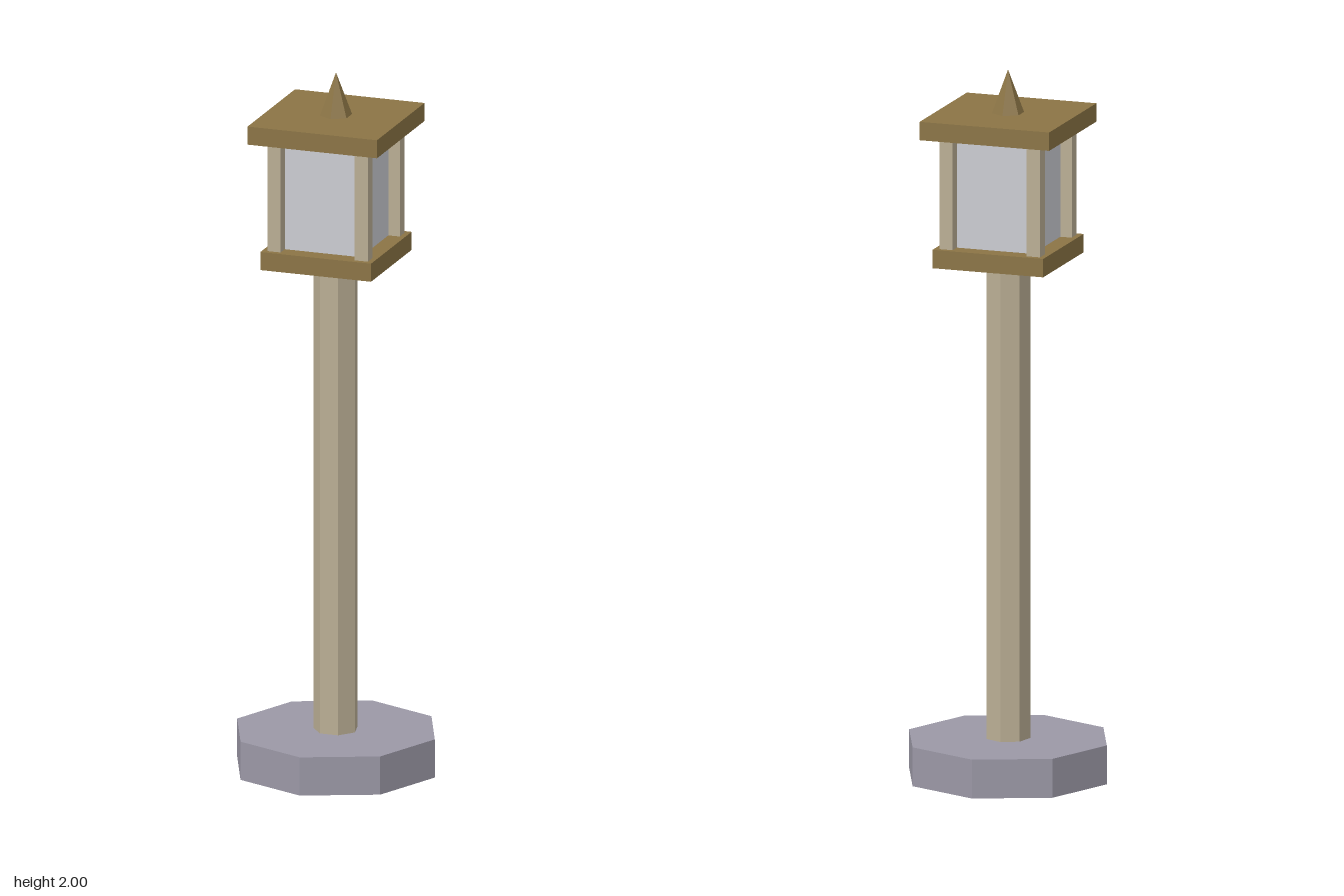
import * as THREE from 'three';

const material = (name, color) => {
  const m = new THREE.MeshStandardMaterial({ color });
  m.name = name;
  m.flatShading = true;
  return m;
};

export function createModel() {
  const stone = material('grey stone', 0x9b98a6);
  const wood = material('pale wood', 0xbaae94);
  const bronze = material('dark bronze', 0x8b7445);
  const glass = material('frosted glass', 0xcbccd2);

  const lamp = new THREE.Group();
  lamp.name = 'lampPost';

  // Adds a mesh spanning the heights y0 to y1
  const add = (name, geometry, mat, y0, y1, x = 0, z = 0) => {
    const mesh = new THREE.Mesh(geometry, mat);
    mesh.name = name;
    mesh.position.set(x, (y0 + y1) / 2, z);
    lamp.add(mesh);
    return mesh;
  };
  const box = (name, mat, width, y0, y1, x, z) =>
    add(name, new THREE.BoxGeometry(width, y1 - y0, width), mat, y0, y1, x, z);
  const prism = (name, mat, rTop, rBottom, sides, y0, y1) =>
    add(name, new THREE.CylinderGeometry(rTop, rBottom, y1 - y0, sides), mat, y0, y1);

  // Octagonal foot and seven-sided pole with a flat side to the front
  prism('base', stone, 0.29, 0.29, 8, 0, 0.11);
  prism('pole', wood, 0.062, 0.062, 7, 0.11, 1.46).rotation.y = Math.PI;

  // Lantern: floor plate, glass body, corner posts, roof
  box('lanternFloor', bronze, 0.325, 1.46, 1.512);
  box('lanternGlass', glass, 0.228, 1.512, 1.826);
  for (const x of [-0.128, 0.128])
    for (const z of [-0.128, 0.128]) box('cornerPost', wood, 0.039, 1.512, 1.826, x, z);
  box('lanternRoof', bronze, 0.38, 1.826, 1.878);

  // Six-sided spike on the roof
  add('finial', new THREE.ConeGeometry(0.045, 0.122, 6), bronze, 1.878, 2);

  return lamp;
}
